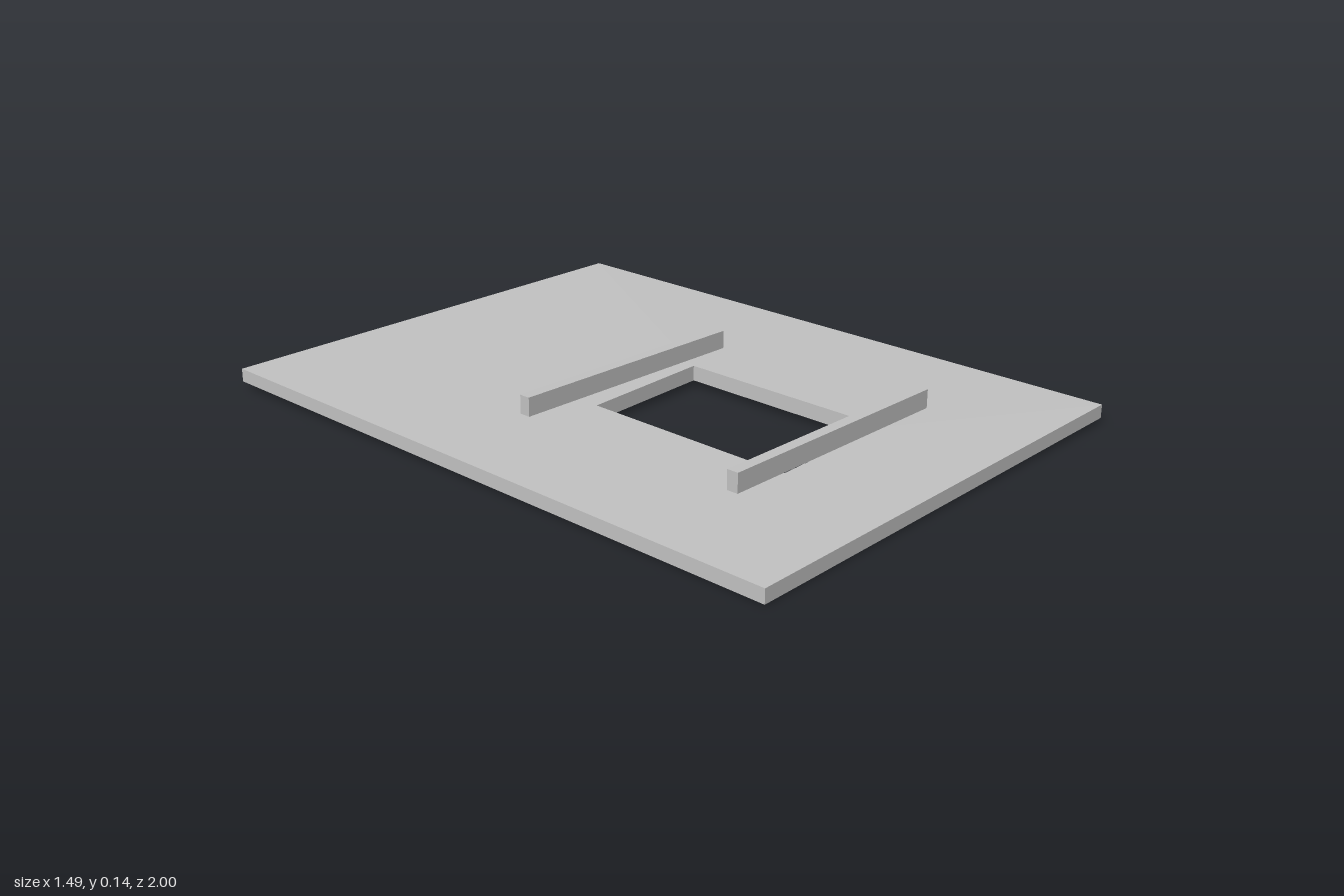
import * as THREE from 'three';

export function createModel() {
  const group = new THREE.Group();
  const grey = new THREE.MeshStandardMaterial({ color: 0xc0c0c0 });
  grey.name = 'light grey';

  // Points are given as [x, z] in plan
  const plan = (pts) => pts.map(([x, z]) => new THREE.Vector2(x, -z));

  // Slab with an off-square opening
  const outline = new THREE.Shape(plan([[-0.73, 1], [0.745, 1], [0.745, -1], [-0.745, -1]]));
  outline.holes.push(new THREE.Path(plan([[-0.24, -0.015], [0.18, -0.03], [0.18, 0.655], [-0.24, 0.655]])));
  const slabGeometry = new THREE.ExtrudeGeometry(outline, { depth: 0.04, bevelEnabled: false });
  slabGeometry.rotateX(-Math.PI / 2);

  // Slope the slab up to the back and left, with the top slightly raised at the opening
  const p = slabGeometry.attributes.position;
  for (let i = 0; i < p.count; i++) {
    const x = p.getX(i), y = p.getY(i), z = p.getZ(i);
    const raised = y > 0.02 && Math.abs(x) < 0.5 ? 0.006 : 0;
    p.setY(i, y + 0.0175 + 0.01 * x - 0.01 * z + raised);
  }
  slabGeometry.computeVertexNormals();
  const slab = new THREE.Mesh(slabGeometry, grey);
  slab.name = 'slab';
  group.add(slab);

  // Two bars above the ends of the opening
  for (const [name, z] of [['frontBar', 0.673], ['backBar', -0.067]]) {
    const bar = new THREE.Mesh(new THREE.BoxGeometry(0.797, 0.055, 0.034), grey);
    bar.name = name;
    bar.position.set(-0.0625, 0.107, z);
    bar.rotation.z = -0.004;
    group.add(bar);
  }
  return group;
}
